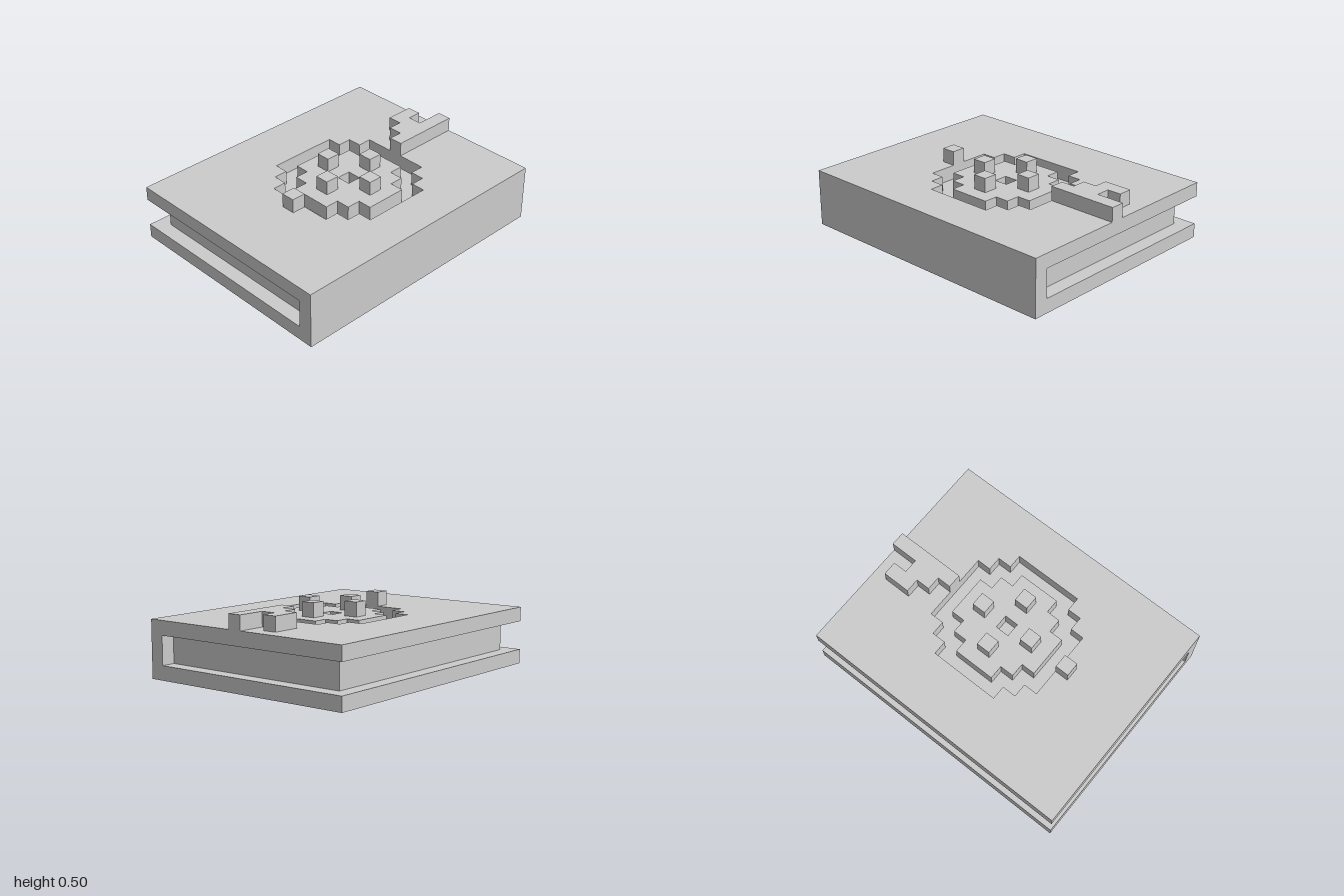
import * as THREE from 'three';

const material = new THREE.MeshStandardMaterial({ color: 0xcccccc, flatShading: true });
const T = 0.1; // cover thickness and emblem grid step
const TOP = 0.4;

function box(name, w, h, d, x, y, z) {
  const mesh = new THREE.Mesh(new THREE.BoxGeometry(w, h, d), material);
  mesh.name = name;
  mesh.position.set(x, y, z);
  return mesh;
}

// Horizontal slab from an (x, z) outline, with its upper face at height top
function slab(name, outline, holes, top) {
  const shape = new THREE.Shape(outline);
  shape.holes = holes.map((h) => new THREE.Path(h));
  const geometry = new THREE.ExtrudeGeometry(shape, { depth: T, bevelEnabled: false });
  geometry.rotateX(Math.PI / 2);
  const mesh = new THREE.Mesh(geometry, material);
  mesh.name = name;
  mesh.position.y = top;
  return mesh;
}

const points = (list) => list.map(([x, z]) => new THREE.Vector2(x, z));

const rect = (x0, z0, x1, z1) => points([[x0, z0], [x1, z0], [x1, z1], [x0, z1]]);

// Stepped pixel circle: one quarter mirrored into four
function steppedCircle(r) {
  const a = r - 0.1, b = r - 0.2;
  const quarter = [[r, b], [a, b], [a, a], [b, a], [b, r]];
  const half = [...quarter, ...quarter.map(([x, z]) => [-x, z]).reverse()];
  const full = [...half, ...half.map(([x, z]) => [x, -z]).reverse()];
  return points(full.map(([x, z]) => [x + 0.05, z + 0.05]));
}

export function createModel() {
  const book = new THREE.Group();
  book.name = 'book';

  // Covers, spine and page block
  book.add(box('backCover', 2, T, 1.6, 0, 0.05, 0));
  book.add(box('spine', 2, 0.2, T, 0, 0.2, 0.75));
  book.add(box('pages', 1.8, 0.2, 1.4, 0, 0.2, 0));
  book.add(slab('frontCover', rect(-1, -0.8, 1, 0.8), [steppedCircle(0.45)], TOP));

  // Disc left standing inside the ring groove, with a square pit in its middle
  book.add(slab('emblemDisc', steppedCircle(0.35), [rect(0, 0, 0.1, 0.1)], TOP));

  // Raised studs: four around the pit and one outside the ring
  for (const [x, z] of [[-0.15, 0.05], [0.25, 0.05], [0.05, -0.15], [0.05, 0.25], [-0.45, 0.05]]) {
    book.add(box('stud', T, T, T, x, TOP + T / 2, z));
  }

  // Raised stem with its stepped leaf
  book.add(slab('stem', points([
    [0.5, 0.1], [0.5, 0], [0.6, 0], [0.6, -0.1], [0.7, -0.1], [0.7, -0.2],
    [0.9, -0.2], [0.9, -0.1], [0.8, -0.1], [0.8, 0], [1, 0], [1, 0.1],
  ]), [], TOP + T));

  return book;
}
